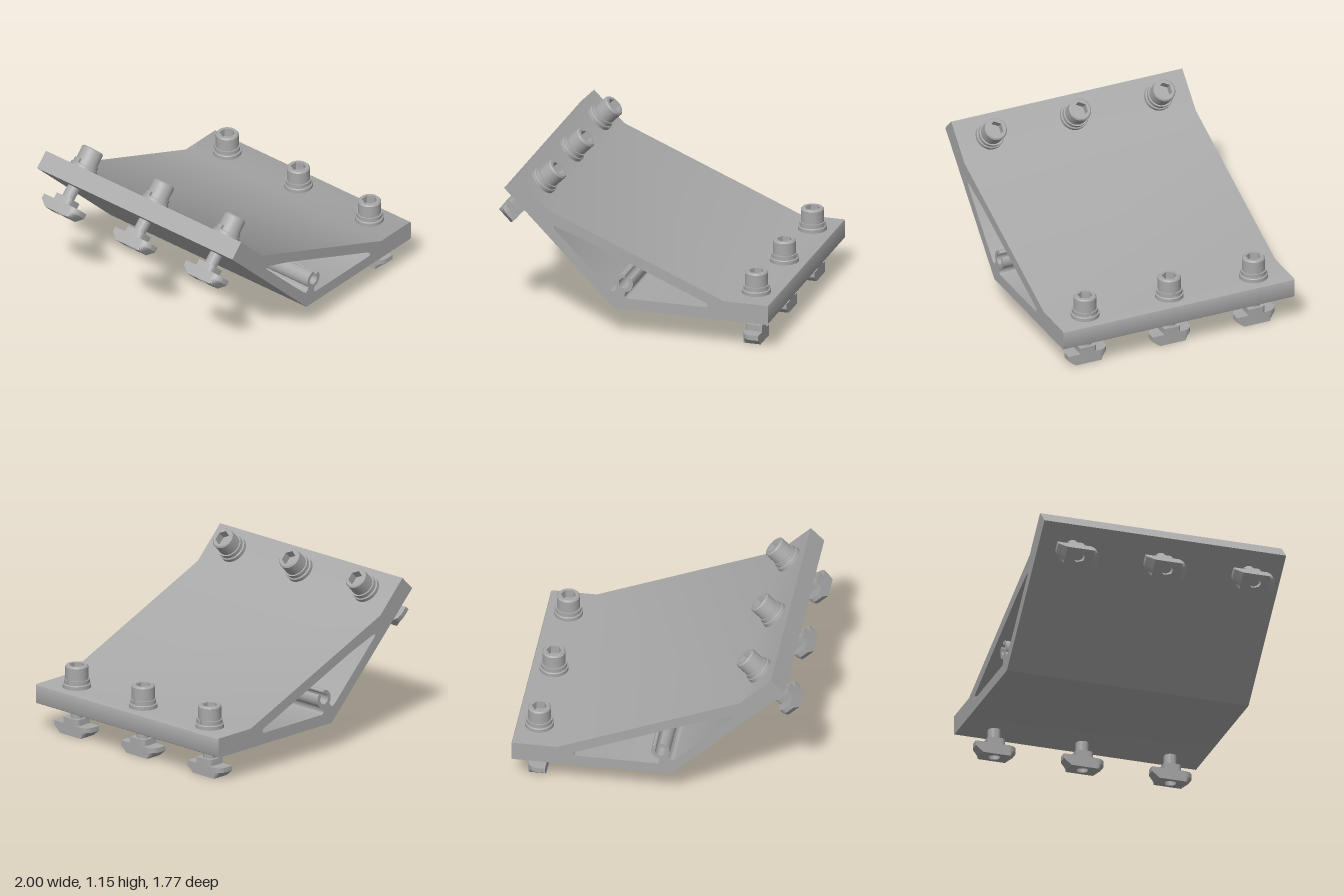
import * as THREE from 'three';
import { toCreasedNormals } from 'three/addons/utils/BufferGeometryUtils.js';

const grey = new THREE.MeshStandardMaterial({ color: 0xa8a8a8 });
grey.name = 'metal grey';

const rad = THREE.MathUtils.degToRad;

function part(name, geometry) {
  const mesh = new THREE.Mesh(toCreasedNormals(geometry, 0.6), grey);
  mesh.name = name;
  return mesh;
}

// Plan outline extruded upward from y0 to y1
function slab(shape, y0, y1) {
  return new THREE.ExtrudeGeometry(shape, { depth: y1 - y0, bevelEnabled: false, curveSegments: 24 })
    .rotateX(-Math.PI / 2).translate(0, y0, 0);
}

// Closed profile of revolution from [radius, y] pairs, bottom to top
function turned(points) {
  return new THREE.LatheGeometry(points.map(([r, y]) => new THREE.Vector2(r, y)), 40);
}

function circlePath(r) {
  return new THREE.Path().absarc(0, 0, r, 0, Math.PI * 2, true);
}

// Angled extrusion with a triangular opening and an open clip groove
function bracketGeometry() {
  const s = new THREE.Shape();
  s.moveTo(-0.125, 0.205);
  s.lineTo(0.98, 0.205);
  s.quadraticCurveTo(0.995, 0.205, 0.995, 0.22);
  s.lineTo(0.995, 0.33);
  s.quadraticCurveTo(0.995, 0.345, 0.98, 0.345);
  s.lineTo(0.675, 0.345);
  s.lineTo(-0.605, 0.875);
  s.lineTo(-0.825, 1.098);
  s.lineTo(-0.92, 1.002);
  s.closePath();

  const h = new THREE.Path();
  const cx = -0.05, cy = 0.395, ro = 0.065, ri = 0.038, rm = (ro + ri) / 2, rt = (ro - ri) / 2;
  const a = rad(95), b = rad(30);
  h.moveTo(-0.03, 0.285);
  h.lineTo(0.54, 0.285);
  h.bezierCurveTo(0.56, 0.285, 0.565, 0.309, 0.545, 0.318);
  h.lineTo(-0.53, 0.764);
  h.bezierCurveTo(-0.55, 0.772, -0.565, 0.75, -0.55, 0.733);
  h.lineTo(-0.155, 0.338);
  h.quadraticCurveTo(-0.13, 0.315, -0.112, 0.338);
  // Clip: outer wall, rounded lip, bore, rounded lip, outer wall
  h.absarc(cx, cy, ro, rad(215), a, true);
  h.absarc(cx + rm * Math.cos(a), cy + rm * Math.sin(a), rt, a, a - Math.PI, true);
  h.absarc(cx, cy, ri, a, b + Math.PI * 2, false);
  h.absarc(cx + rm * Math.cos(b), cy + rm * Math.sin(b), rt, b + Math.PI, b, true);
  h.absarc(cx, cy, ro, b, rad(-80), true);
  h.quadraticCurveTo(-0.055, 0.29, -0.03, 0.285);
  s.holes.push(h);
  return new THREE.ExtrudeGeometry(s, { depth: 1.77, bevelEnabled: false, curveSegments: 16 })
    .translate(0, 0, -0.885);
}

// Rectangle with two opposite corners rounded, and a bore
function nutOutline(w, l, r, bore) {
  const s = new THREE.Shape();
  s.moveTo(w, -l);
  s.lineTo(w, l - r);
  s.absarc(w - r, l - r, r, 0, Math.PI / 2, false);
  s.lineTo(-w, l);
  s.lineTo(-w, -l + r);
  s.absarc(-w + r, -l + r, r, Math.PI, Math.PI * 1.5, false);
  s.closePath();
  s.holes.push(circlePath(bore));
  return s;
}

// Bolt, washers and T-nut; the origin lies on the plate's upper face
function createFastener() {
  const g = new THREE.Group();
  g.name = 'fastener';

  g.add(part('flatWasher', turned([[0, 0], [0.1, 0], [0.1, 0.026], [0.095, 0.031], [0, 0.031]])));

  // Split spring washer
  const ring = new THREE.Shape();
  const gap = 0.08;
  ring.absarc(0, 0, 0.09, gap, Math.PI * 2 - gap, false);
  ring.absarc(0, 0, 0.05, Math.PI * 2 - gap, gap, true);
  ring.closePath();
  g.add(part('springWasher', slab(ring, 0.031, 0.06)));

  // Socket head: turned wall with a hexagonal recess
  g.add(part('boltHead', turned([[0, 0.06], [0.08, 0.06], [0.08, 0.15], [0.071, 0.16]])));
  const rim = new THREE.Shape().absarc(0, 0, 0.071, 0, Math.PI * 2, false);
  const hex = new THREE.Path();
  for (let i = 0; i < 6; i++) {
    const t = -i * Math.PI / 3;
    const x = 0.054 * Math.cos(t), y = 0.054 * Math.sin(t);
    if (i) hex.lineTo(x, y); else hex.moveTo(x, y);
  }
  hex.closePath();
  rim.holes.push(hex);
  g.add(part('hexSocket', slab(rim, 0.1, 0.16)));
  g.add(part('socketFloor', new THREE.CircleGeometry(0.07, 24).rotateX(-Math.PI / 2).translate(0, 0.101, 0)));

  g.add(part('boltShaft', new THREE.CylinderGeometry(0.045, 0.045, 0.31, 32).translate(0, -0.155, 0)));

  // T-nut: neck, wings, and lower wings with sloping ends
  g.add(part('nutNeck', slab(nutOutline(0.0625, 0.065, 0.03, 0.04), -0.265, -0.22)));
  const wing = nutOutline(0.0625, 0.155, 0.07, 0.04);
  g.add(part('nutWings', slab(wing, -0.3, -0.265)));
  const lower = slab(wing, -0.345, -0.3);
  const p = lower.attributes.position;
  for (let i = 0; i < p.count; i++) {
    if (p.getY(i) < -0.34) p.setZ(i, THREE.MathUtils.clamp(p.getZ(i), -0.1, 0.1));
  }
  g.add(part('nutLowerWings', lower));
  return g;
}

export function createModel() {
  const model = new THREE.Group();
  model.name = 'angleBracket';
  model.add(part('bracketBody', bracketGeometry()));

  for (const z of [-0.645, 0, 0.645]) {
    const flat = createFastener();
    flat.name = 'baseFastener';
    flat.position.set(0.835, 0.345, z);

    const tilted = new THREE.Group();
    tilted.name = 'tiltedFastener';
    const inner = createFastener();
    inner.rotation.y = Math.PI;
    tilted.add(inner);
    tilted.rotation.z = -Math.PI / 4;
    tilted.position.set(-0.714, 0.985, z);
    model.add(flat, tilted);
  }
  return model;
}
